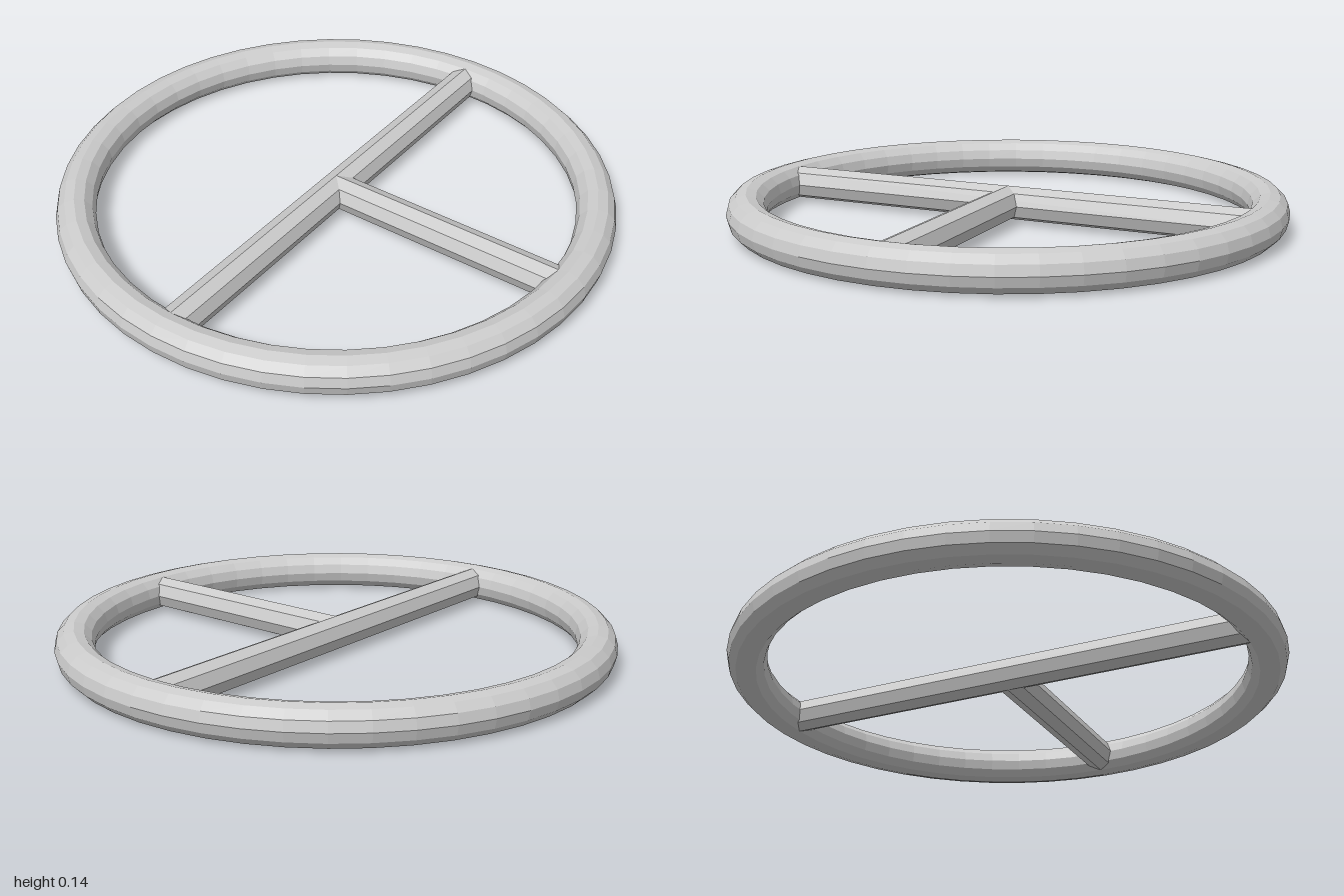
import * as THREE from 'three';

const RING_RADIUS = 0.93;
const TUBE_RADIUS = 0.07;
const SPOKE_RADIUS = 0.061;

export function createModel() {
  const group = new THREE.Group();
  group.name = 'wheel';
  const material = new THREE.MeshStandardMaterial({ color: 0xcccccc, flatShading: true });

  function add(name, geometry) {
    const mesh = new THREE.Mesh(geometry, material);
    mesh.name = name;
    mesh.position.y = TUBE_RADIUS;
    group.add(mesh);
    return mesh;
  }

  // Outer ring lying flat
  add('rim', new THREE.TorusGeometry(RING_RADIUS, TUBE_RADIUS, 12, 48).rotateX(Math.PI / 2));

  // Octagonal bars with a ridge along the top, ends buried in the rim
  const bar = (length) => new THREE.CylinderGeometry(SPOKE_RADIUS, SPOKE_RADIUS, length, 8);
  add('crossbar', bar(2 * RING_RADIUS).rotateZ(Math.PI / 2));
  add('frontSpoke', bar(RING_RADIUS).rotateX(Math.PI / 2)).position.z = RING_RADIUS / 2;

  return group;
}
